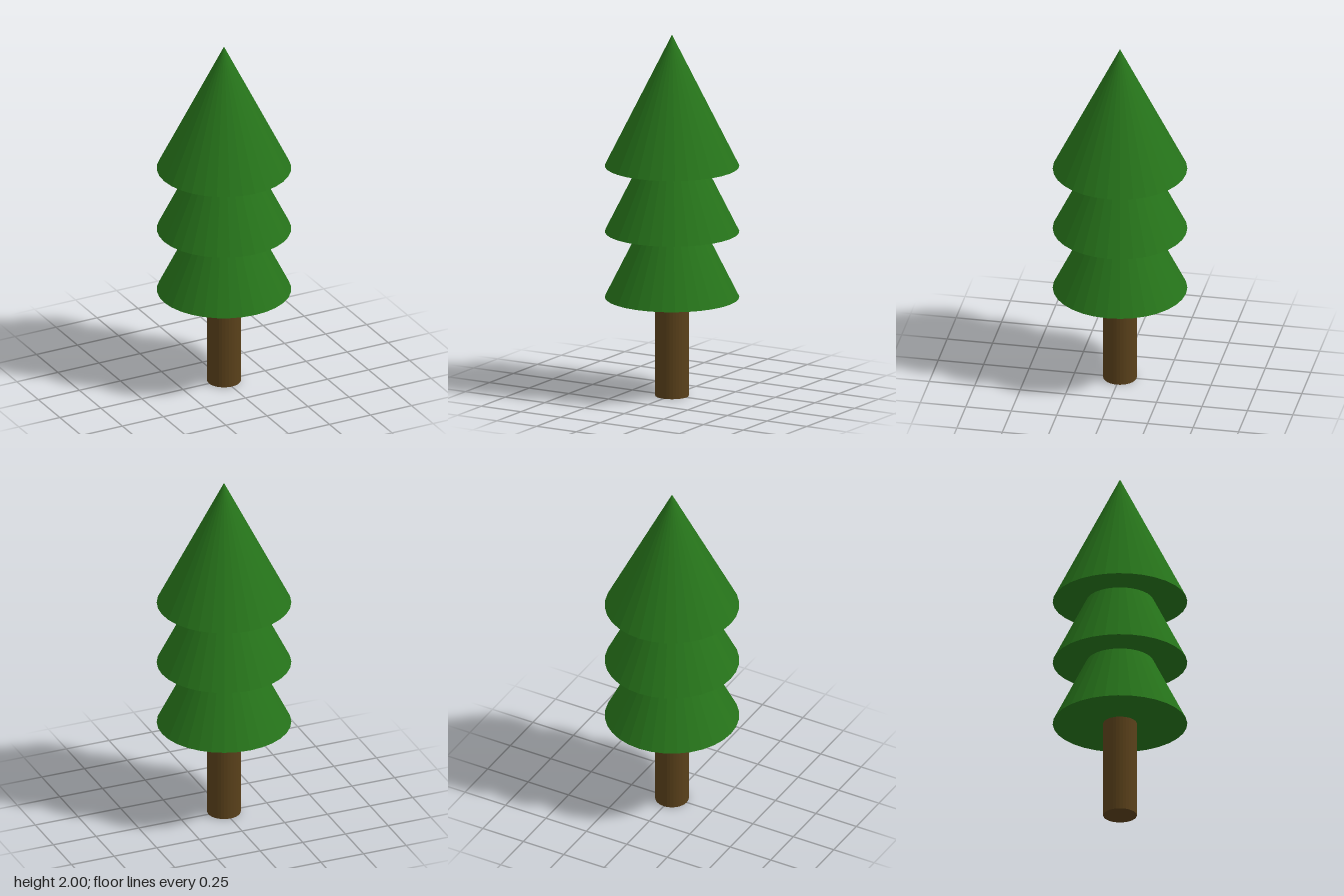
import * as THREE from 'three';

const SIDES = 32;

export function createModel() {
  const tree = new THREE.Group();
  tree.name = 'pineTree';

  const bark = new THREE.MeshStandardMaterial({ color: 0x59401a, flatShading: true });
  const needles = new THREE.MeshStandardMaterial({ color: 0x26731a, flatShading: true });

  // Trunk, from the ground to the lowest tier
  const trunkHeight = 0.546;
  const trunk = new THREE.Mesh(
    new THREE.CylinderGeometry(0.091, 0.091, trunkHeight, SIDES), bark);
  trunk.name = 'trunk';
  trunk.position.y = trunkHeight / 2;
  tree.add(trunk);

  // Three equal cones, each overlapping the one below by half its height
  const tierHeight = 0.727;
  const cone = new THREE.ConeGeometry(0.3635, tierHeight, SIDES);
  ['lowerFoliage', 'middleFoliage', 'upperFoliage'].forEach((name, i) => {
    const tier = new THREE.Mesh(cone, needles);
    tier.name = name;
    tier.position.y = trunkHeight + tierHeight * (i + 1) / 2;
    tree.add(tier);
  });

  return tree;
}
